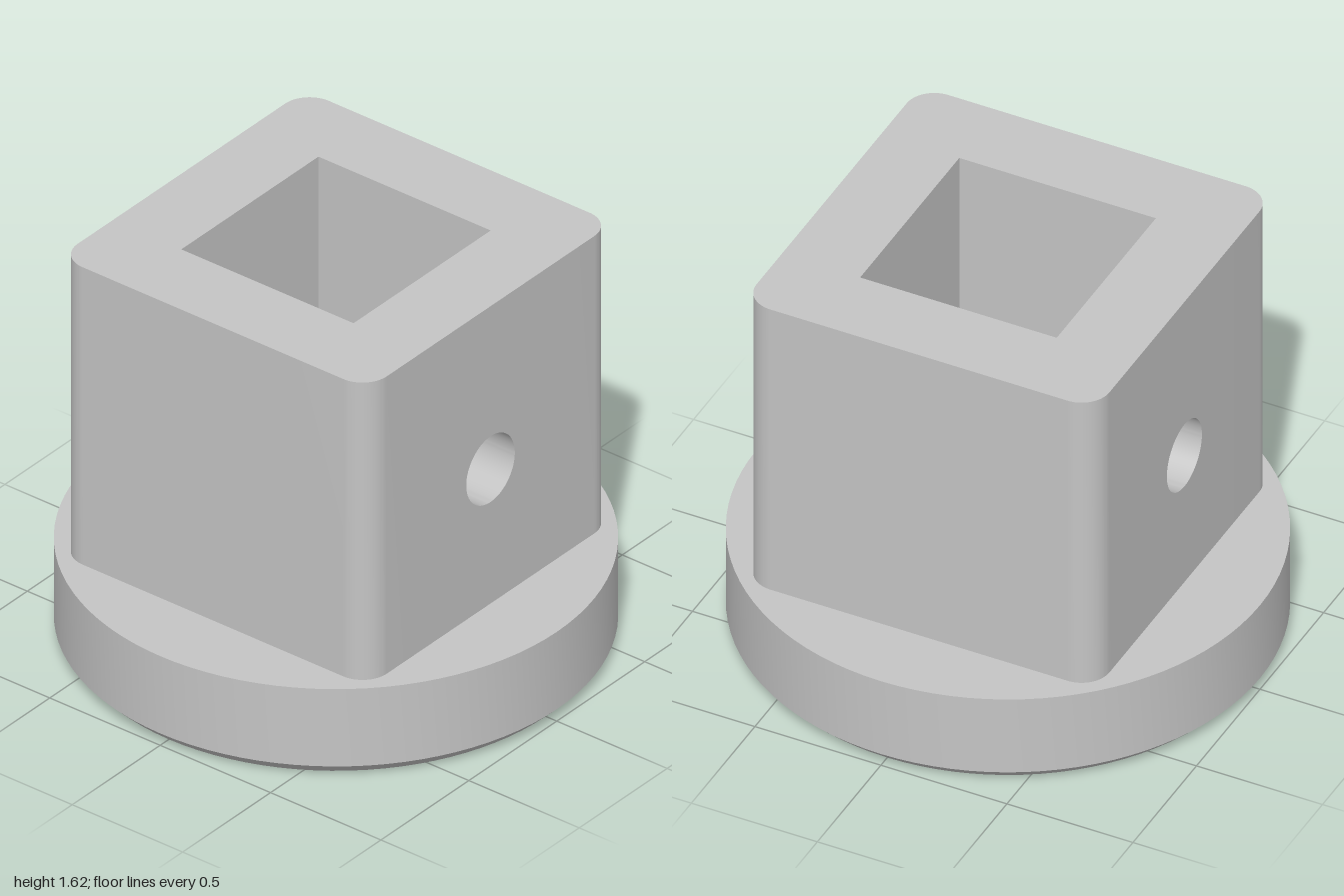
import * as THREE from 'three';
import { toCreasedNormals } from 'three/addons/utils/BufferGeometryUtils.js';

const BASE_TOP = 0.375, TOP = 1.625;
const OUTER = 0.7, INNER = 0.39, CORNER = 0.11;
const HOLE_Y = 0.94, HOLE_R = 0.138;

export function createModel() {
  const group = new THREE.Group();
  const grey = new THREE.MeshStandardMaterial({ color: 0xc4c4c4 });
  grey.name = 'grey';

  const add = (name, geometry, turn = 0) => {
    const mesh = new THREE.Mesh(toCreasedNormals(geometry, 0.5), grey);
    mesh.name = name;
    mesh.rotation.y = turn;
    group.add(mesh);
  };

  // Round base with a chamfered lower edge; its top is also the socket floor
  const profile = [[0, 0], [0.95, 0], [1, 0.05], [1, BASE_TOP], [0, BASE_TOP]]
    .map(([x, y]) => new THREE.Vector2(x, y));
  add('base', new THREE.LatheGeometry(profile, 96));

  // Front and back walls, with rounded outer corners
  const c = OUTER - CORNER;
  const plan = new THREE.Shape();
  plan.moveTo(-OUTER, INNER);
  plan.lineTo(OUTER, INNER);
  plan.lineTo(OUTER, c);
  plan.absarc(c, c, CORNER, 0, Math.PI / 2, false);
  plan.lineTo(-c, OUTER);
  plan.absarc(-c, c, CORNER, Math.PI / 2, Math.PI, false);
  plan.closePath();
  const endWall = new THREE.ExtrudeGeometry(plan, {
    depth: TOP - BASE_TOP, bevelEnabled: false, curveSegments: 12,
  });
  endWall.rotateX(-Math.PI / 2).translate(0, BASE_TOP, 0);
  add('backWall', endWall);
  add('frontWall', endWall, Math.PI);

  // Side walls between them, each pierced by the cross pin hole
  const panel = new THREE.Shape();
  panel.moveTo(-INNER, BASE_TOP);
  panel.lineTo(INNER, BASE_TOP);
  panel.lineTo(INNER, TOP);
  panel.lineTo(-INNER, TOP);
  panel.closePath();
  const hole = new THREE.Path();
  hole.absarc(0, HOLE_Y, HOLE_R, 0, Math.PI * 2, true);
  panel.holes.push(hole);
  const sideWall = new THREE.ExtrudeGeometry(panel, {
    depth: OUTER - INNER, bevelEnabled: false, curveSegments: 48,
  });
  sideWall.translate(0, 0, INNER);
  add('leftWall', sideWall, Math.PI / 2);
  add('rightWall', sideWall, -Math.PI / 2);

  return group;
}
